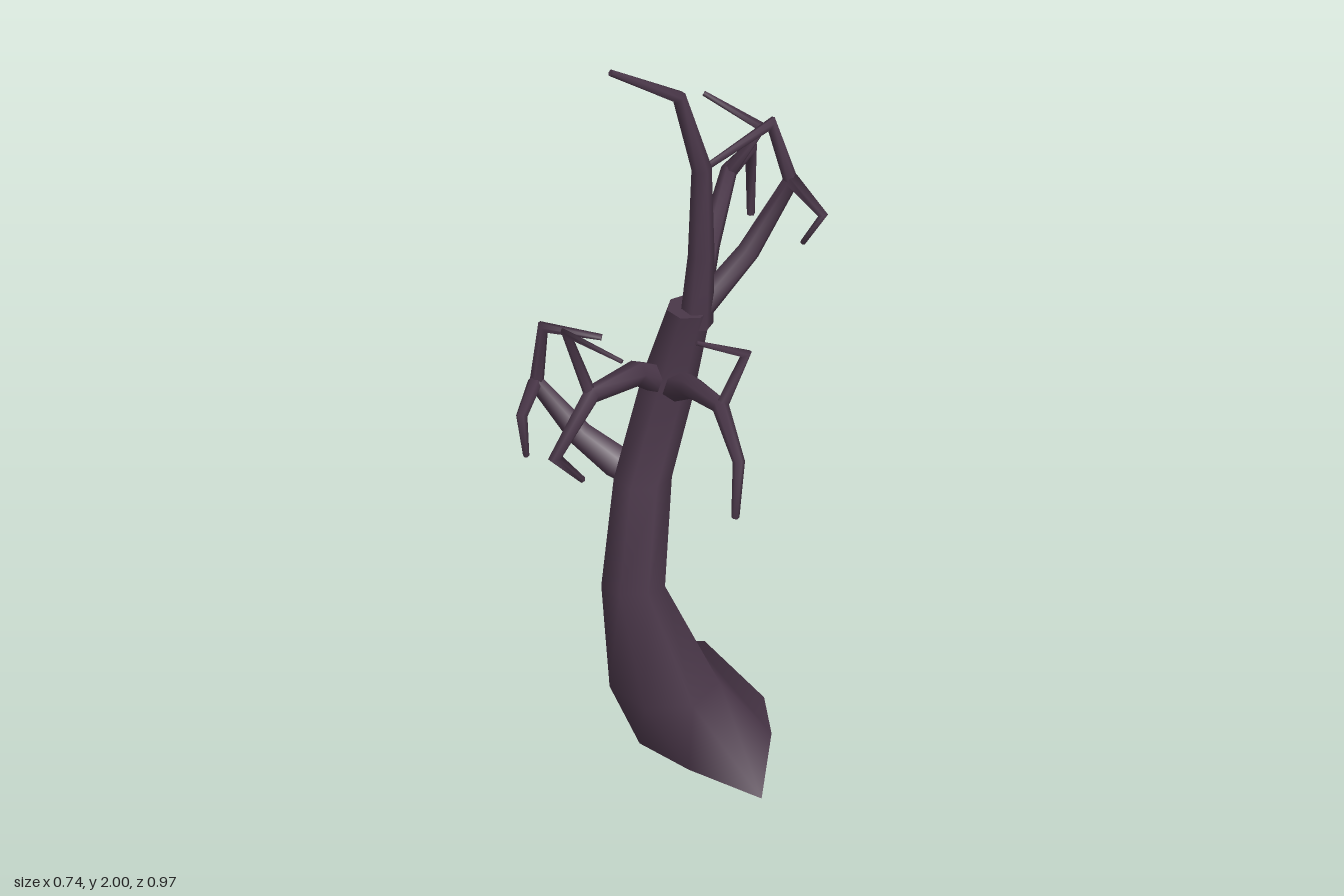
import * as THREE from 'three';

const bark = new THREE.MeshStandardMaterial({ color: 0x4a3749 });
bark.name = 'dark bark';

// Skin a list of rings (counterclockwise around the growing direction), with capped ends
function loft(rings) {
  const n = rings[0].length, pos = [], idx = [];
  const add = (p) => pos.push(p.x, p.y, p.z) / 3 - 1;
  rings.forEach((ring) => ring.forEach(add));
  for (let i = 0; i < rings.length - 1; i++) {
    for (let j = 0; j < n; j++) {
      const a = i * n + j, b = i * n + (j + 1) % n;
      idx.push(a, b, b + n, a, b + n, a + n);
    }
  }
  [rings[0], rings[rings.length - 1]].forEach((ring, end) => {
    const mid = new THREE.Vector3();
    ring.forEach((p) => mid.addScaledVector(p, 1 / n));
    const c = add(mid), first = c + 1;
    ring.forEach(add);
    for (let j = 0; j < n; j++) {
      const a = first + j, b = first + (j + 1) % n;
      if (end) idx.push(c, a, b); else idx.push(c, b, a);
    }
  });
  const g = new THREE.BufferGeometry();
  g.setAttribute('position', new THREE.Float32BufferAttribute(pos, 3));
  g.setIndex(idx);
  g.computeVertexNormals();
  return g;
}

// Tapered limb along [x, y, z, radius] points, mitred at each bend
function limb(points, sides = 6) {
  const p = points.map((q) => new THREE.Vector3(q[0], q[1], q[2]));
  const dirs = p.slice(1).map((q, i) => q.clone().sub(p[i]).normalize());
  const u = new THREE.Vector3(0.31, 0.17, 0.93).cross(dirs[0]).normalize();
  const v = dirs[0].clone().cross(u);
  const rings = p.map((c, i) => {
    const d = dirs[Math.max(i - 1, 0)], e = dirs[Math.min(i, dirs.length - 1)];
    const t = d.clone().add(e).normalize();
    const ring = [];
    for (let j = 0; j < sides; j++) {
      const a = j / sides * Math.PI * 2, r = points[i][3];
      const o = u.clone().multiplyScalar(r * Math.cos(a)).addScaledVector(v, r * Math.sin(a));
      o.addScaledVector(d, -o.dot(t) / Math.max(d.dot(t), 0.6));
      ring.push(o.add(c));
    }
    const turn = new THREE.Quaternion().setFromUnitVectors(d, e);
    u.applyQuaternion(turn);
    v.applyQuaternion(turn);
    return ring;
  });
  return loft(rings);
}

// Lower trunk: an uneven flared foot, then seven-sided rings
function trunkGeometry() {
  const foot = [
    [0.26, 0, 0.31], [0.24, 0.04, 0.083], [0.2, 0.07, -0.025], [0.015, 0.09, -0.21],
    [-0.08, 0, -0.04], [-0.08, 0, 0.13], [0.06, 0, 0.22],
  ].map((q) => new THREE.Vector3(...q));
  // centre x, y, z, radius x, radius z, slope towards the front
  const levels = [
    [-0.015, 0.23, 0.165, 0.14, 0.092, -0.45],
    [-0.087, 0.505, 0.18, 0.08, 0.083, 0.2],
    [-0.08, 0.77, 0.093, 0.073, 0.077, 0],
    [-0.035, 0.99, 0.02, 0.072, 0.075, -0.1],
    [0.027, 1.245, 0.045, 0.056, 0.056, 0],
  ];
  const rings = levels.map(([x, y, z, rx, rz, k]) => foot.map((_, j) => {
    const a = (50 - j * 360 / 7) * Math.PI / 180, dz = rz * Math.sin(a);
    return new THREE.Vector3(x + rx * Math.cos(a), y + k * dz, z + dz);
  }));
  return loft([foot, ...rings]);
}

const branches = {
  upperStem: [
    [[0.045, 1.2, 0.045, 0.042], [0.056, 1.4, 0.04, 0.033], [0.056, 1.65, 0.035, 0.025],
      [0.008, 1.88, 0.075, 0.017], [-0.145, 1.993, 0.168, 0.009]],
  ],
  lowRightBranch: [
    [[-0.09, 0.77, 0.085, 0.045], [-0.15, 0.79, 0.08, 0.042], [-0.24, 0.855, 0.073, 0.033], [-0.352, 0.985, 0.062, 0.02]],
    [[-0.352, 0.97, 0.06, 0.018], [-0.335, 1.147, 0.058, 0.013], [-0.19, 1.13, 0.05, 0.008]],
    [[-0.354, 0.985, 0.06, 0.018], [-0.357, 0.985, 0.215, 0.014], [-0.355, 0.84, 0.17, 0.008]],
  ],
  frontRightBranch: [
    [[-0.035, 1.01, 0.03, 0.042], [-0.09, 1.09, 0.13, 0.032], [-0.165, 1.135, 0.31, 0.022],
      [-0.225, 1.04, 0.46, 0.015], [-0.18, 0.91, 0.35, 0.009]],
    [[-0.165, 1.13, 0.31, 0.016], [-0.23, 1.295, 0.293, 0.011], [-0.08, 1.27, 0.35, 0.006]],
  ],
  frontLeftBranch: [
    [[-0.015, 1.01, 0.05, 0.04], [0.05, 1.075, 0.14, 0.03], [0.15, 1.115, 0.27, 0.021],
      [0.222, 1.05, 0.405, 0.015], [0.21, 0.875, 0.388, 0.01]],
    [[0.15, 1.11, 0.27, 0.016], [0.205, 1.25, 0.228, 0.011], [0.095, 1.315, 0.3, 0.006]],
  ],
  upperLeftBranch: [
    [[0.04, 1.22, 0.04, 0.035], [0.155, 1.36, -0.055, 0.029], [0.25, 1.54, -0.12, 0.02],
      [0.355, 1.537, 0.015, 0.012], [0.29, 1.4, -0.06, 0.007]],
    [[0.25, 1.53, -0.12, 0.018], [0.205, 1.72, -0.09, 0.013], [0.06, 1.635, 0.01, 0.008]],
  ],
  backBranch: [
    [[0.04, 1.22, 0.04, 0.036], [0.05, 1.345, -0.09, 0.028], [0.06, 1.43, -0.29, 0.021],
      [0.08, 1.385, -0.468, 0.015], [0.08, 1.19, -0.465, 0.01]],
    [[0.06, 1.425, -0.288, 0.017], [0.145, 1.58, -0.275, 0.012], [-0.003, 1.65, -0.29, 0.007]],
  ],
};

export function createModel() {
  const tree = new THREE.Group();
  tree.name = 'deadTree';
  const trunk = new THREE.Mesh(trunkGeometry(), bark);
  trunk.name = 'trunk';
  tree.add(trunk);
  for (const [name, limbs] of Object.entries(branches)) {
    const group = new THREE.Group();
    group.name = name;
    limbs.forEach((points, i) => {
      const mesh = new THREE.Mesh(limb(points), bark);
      mesh.name = i ? 'twig' : 'limb';
      group.add(mesh);
    });
    tree.add(group);
  }
  return tree;
}
